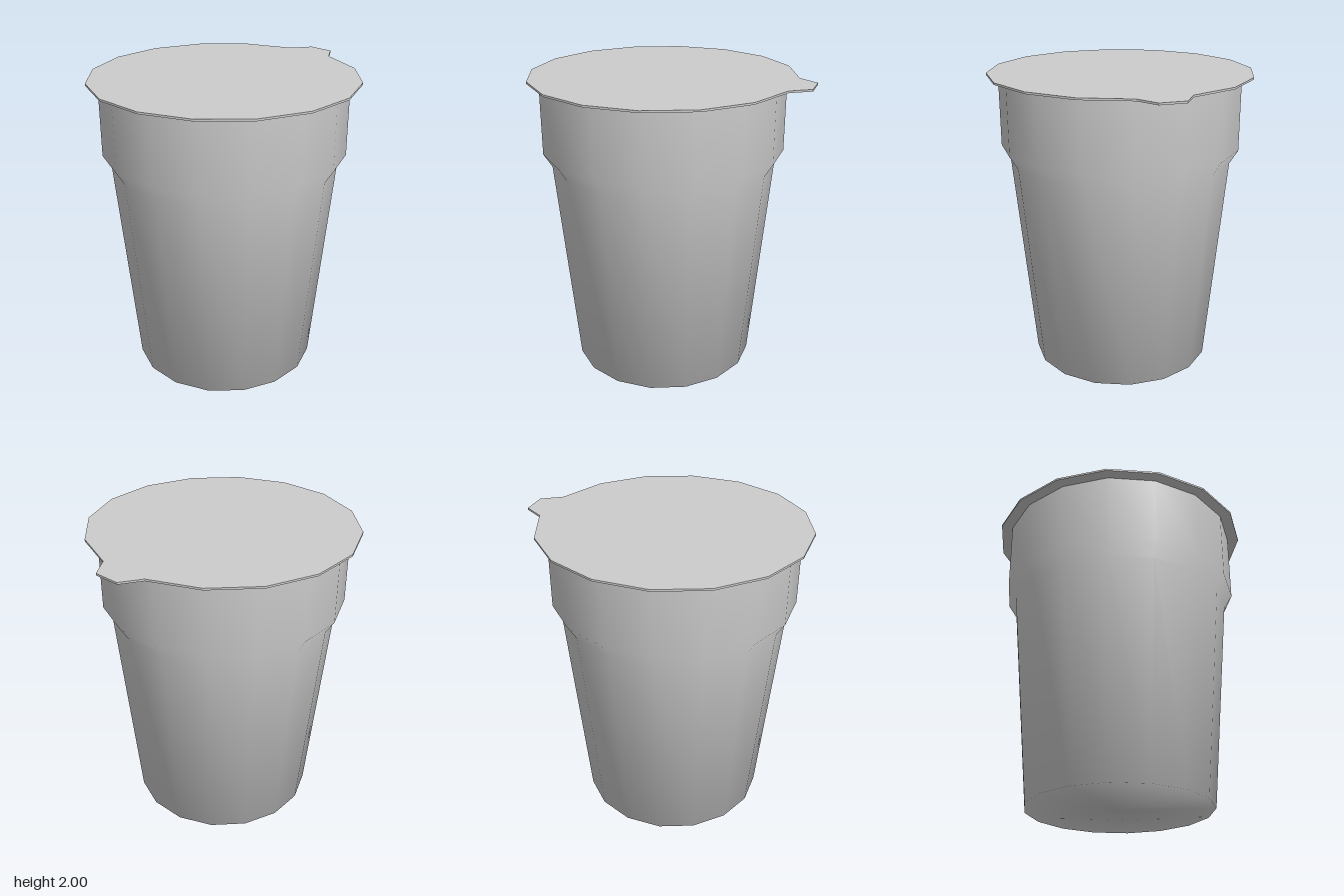
import * as THREE from 'three';

const SIDES = 16;
const CENTRE_Z = 0.055;   // the pull tab at the back shifts the round body forward
const LID_RADIUS = 0.87;
const LID_THICKNESS = 0.013;

export function createModel() {
  const group = new THREE.Group();
  const material = new THREE.MeshStandardMaterial({ color: 0xcccccc });

  // Tapered cup with a closed base and a wider collar at the top
  const profile = [[0, 0], [0.61, 0], [0.74, 1.43], [0.795, 1.52], [0.795, 2 - LID_THICKNESS]]
    .map(([r, y]) => new THREE.Vector2(r, y));
  const cup = new THREE.Mesh(new THREE.LatheGeometry(profile, SIDES), material);
  cup.name = 'cup';
  cup.position.z = CENTRE_Z;
  group.add(cup);

  // Thin foil lid: a polygon whose rearmost corner leads into the pull tab
  const outline = [];
  for (let i = 0; i < SIDES; i++) {
    const a = Math.PI / 2 - (i / SIDES) * Math.PI * 2;
    outline.push(new THREE.Vector2(LID_RADIUS * Math.cos(a), LID_RADIUS * Math.sin(a) - CENTRE_Z));
    if (i === 0) outline.push(new THREE.Vector2(0.108, 0.926), new THREE.Vector2(0.275, 0.893));
  }
  const lidGeometry = new THREE.ExtrudeGeometry(new THREE.Shape(outline), {
    depth: LID_THICKNESS, bevelEnabled: false,
  });
  lidGeometry.rotateX(-Math.PI / 2);
  const lid = new THREE.Mesh(lidGeometry, material);
  lid.name = 'lid';
  lid.position.y = 2 - LID_THICKNESS;
  group.add(lid);

  return group;
}
